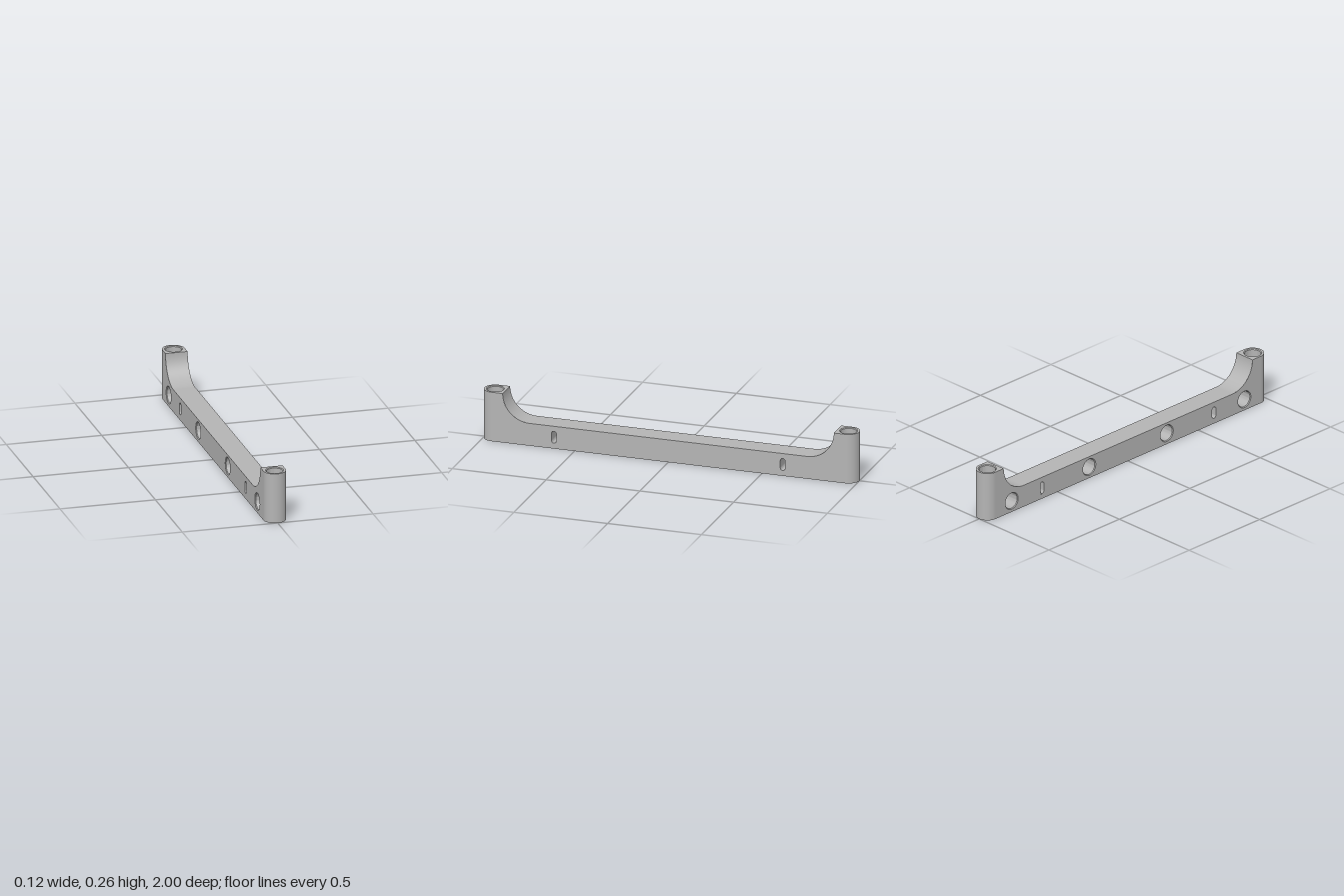
import * as THREE from 'three';
import { toCreasedNormals } from 'three/addons/utils/BufferGeometryUtils.js';

const W = 0.058;          // half width of the bar
const H = 0.263;          // height of the end posts
const R = 0.143;          // fillet between post and bar
const ZC = 1 - W;         // axis of the rounded ends
const ZA = 0.74;          // centre of the fillet
const BORE = 0.046, LIP = 0.042, CH = 0.004, DEPTH = 0.1;
const MID = 0.061;        // height of the side openings
const SLOTS = [-0.61, 0.61];
const SIDE_BORES = [-0.826, -0.275, 0.275, 0.826];

function circle(x, y, r) {
  const p = new THREE.Path();
  p.absarc(x, y, r, 0, Math.PI * 2, false);
  return p;
}

// Upright slot with round ends
function slot(path, x, y, hw, hh) {
  path.absarc(x, y + hh - hw, hw, 0, Math.PI, false);
  path.absarc(x, y - hh + hw, hw, Math.PI, Math.PI * 2, false);
  path.closePath();
  return path;
}

function lathe(points) {
  const pts = points.map(([r, y]) => new THREE.Vector2(r, y));
  return toCreasedNormals(new THREE.LatheGeometry(pts, 40), 0.5);
}

export function createModel() {
  const model = new THREE.Group();
  model.name = 'barHandle';
  const grey = new THREE.MeshStandardMaterial({ color: 0xb4b4b4 });
  grey.name = 'grey';

  const add = (name, geometry, parent = model) => {
    const mesh = new THREE.Mesh(geometry, grey);
    mesh.name = name;
    parent.add(mesh);
    return mesh;
  };

  // Flat side walls with slots; the round bores open on one side only
  const sideWall = (bores) => {
    const s = new THREE.Shape();
    s.moveTo(-ZC, 0);
    s.lineTo(ZC, 0);
    s.lineTo(ZC, H);
    s.lineTo(ZA + R, H);
    s.absarc(ZA, H, R, 0, -Math.PI / 2, true);
    s.lineTo(-ZA, H - R);
    s.absarc(-ZA, H, R, -Math.PI / 2, -Math.PI, true);
    s.lineTo(-ZC, H);
    s.closePath();
    for (const z of SLOTS) s.holes.push(slot(new THREE.Path(), z, MID, 0.017, 0.036));
    for (const z of bores) s.holes.push(circle(z, MID, BORE));
    return new THREE.ShapeGeometry(s, 20);
  };
  add('leftWall', sideWall([]).rotateY(Math.PI / 2).translate(W, 0, 0));
  add('rightWall', sideWall(SIDE_BORES).rotateY(-Math.PI / 2).translate(-W, 0, 0));

  // Top of the bar with a concave fillet at each end
  const N = 20, profile = [];
  for (let i = 0; i <= N; i++) {
    const a = (i / N) * Math.PI / 2;
    profile.push([-ZA - R * Math.cos(a), H - R * Math.sin(a)]);
  }
  for (let i = N; i >= 0; i--) profile.push([-profile[i][0], profile[i][1]]);
  const top = new THREE.PlaneGeometry(2 * W, 1, 1, profile.length - 1);
  const pos = top.attributes.position;
  for (let i = 0; i < pos.count; i++) {
    const [z, y] = profile[Math.floor(i / 2)];
    pos.setXYZ(i, pos.getX(i), y, z);
  }
  top.computeVertexNormals();
  add('barTop', top);

  // Underside, open at the two end bores
  const under = new THREE.Shape();
  under.absarc(0, ZC, W, 0, Math.PI, false);
  under.absarc(0, -ZC, W, Math.PI, Math.PI * 2, false);
  under.closePath();
  under.holes.push(circle(0, ZC, BORE), circle(0, -ZC, BORE));
  add('underside', new THREE.ShapeGeometry(under, 20).rotateX(Math.PI / 2));

  // Rounded end posts, bored from both ends with a pinhole between
  const cap = new THREE.Shape();
  cap.moveTo(-W, -ZA - R);
  cap.lineTo(-W, -ZC);
  cap.absarc(0, -ZC, W, Math.PI, Math.PI * 2, false);
  cap.lineTo(W, -ZA - R);
  cap.closePath();
  cap.holes.push(circle(0, -ZC, BORE));
  for (const [name, turn] of [['frontPost', 0], ['backPost', Math.PI]]) {
    const post = new THREE.Group();
    post.name = name;
    post.rotation.y = turn;
    model.add(post);
    add('postTop', new THREE.ShapeGeometry(cap, 20).rotateX(-Math.PI / 2).translate(0, H, 0), post);
    add('postRound', new THREE.CylinderGeometry(W, W, H, 32, 1, true, -Math.PI / 2, Math.PI)
      .translate(0, H / 2, ZC), post);
    add('postBore', lathe([
      [BORE, H], [LIP, H - CH], [LIP, H - DEPTH], [0.012, H - DEPTH],
      [0.012, DEPTH], [LIP, DEPTH], [LIP, CH], [BORE, 0],
    ]).translate(0, 0, ZC), post);
  }

  // Blind round bores in the side
  for (const z of SIDE_BORES) {
    add('sideBore', lathe([[BORE, 0], [LIP, -CH], [LIP, -DEPTH], [0, -DEPTH]])
      .rotateZ(Math.PI / 2).translate(-W, MID, z));
  }

  // Thin liners of the slots that pass through the bar
  for (const z of SLOTS) {
    const s = slot(new THREE.Shape(), 0, 0, 0.017, 0.036);
    s.holes.push(slot(new THREE.Path(), 0, 0, 0.013, 0.032));
    const liner = new THREE.ExtrudeGeometry(s, { depth: 2 * W, bevelEnabled: false, curveSegments: 10 });
    add('slotLiner', toCreasedNormals(liner, 0.6)
      .translate(0, 0, -W).rotateY(Math.PI / 2).translate(0, MID, z));
  }

  return model;
}
